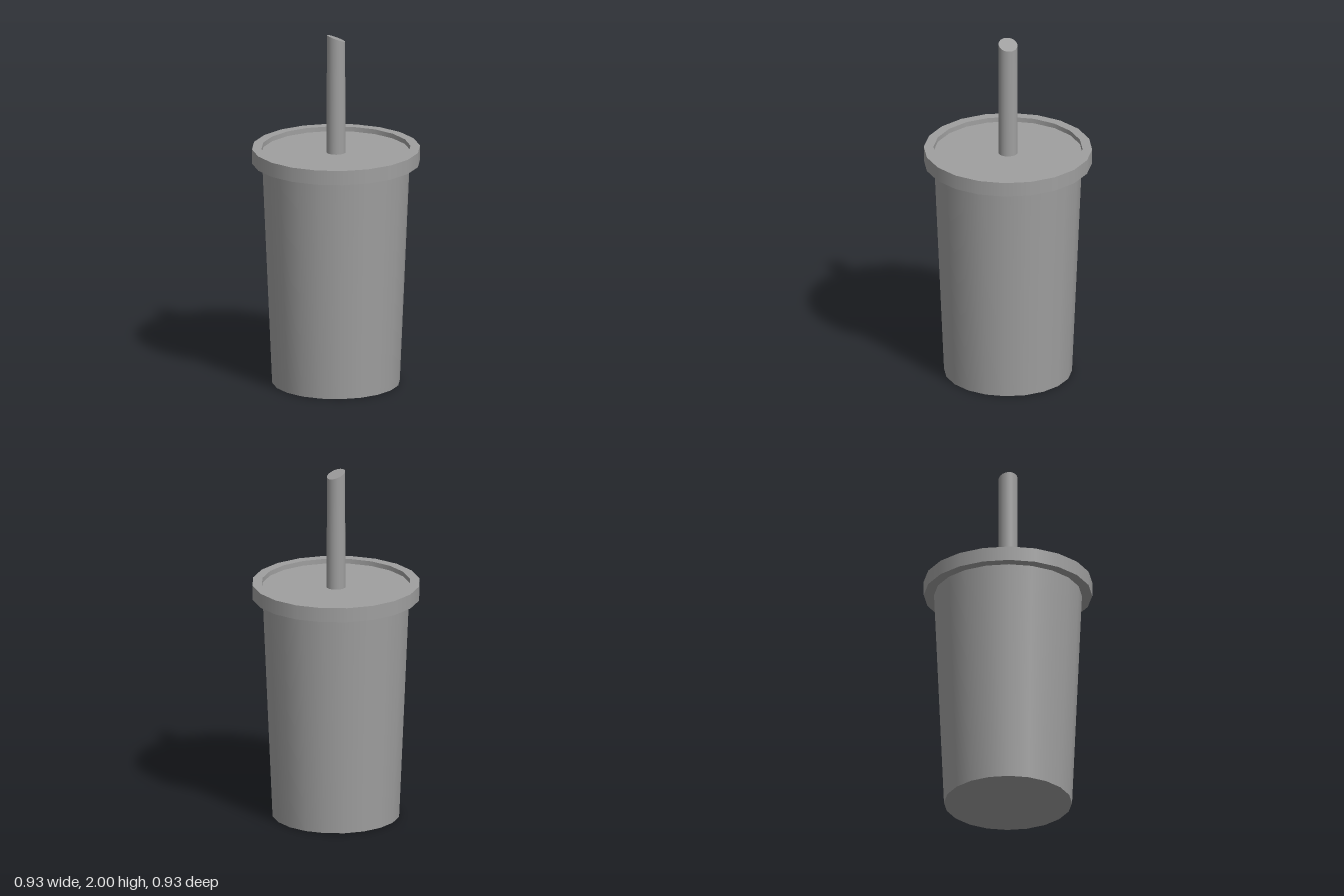
import * as THREE from 'three';
import { mergeGeometries } from 'three/addons/utils/BufferGeometryUtils.js';

const SIDES = 20;

// Revolve each profile segment separately so edges between bands stay sharp
function turned(name, profile, material) {
  const bands = [];
  for (let i = 0; i < profile.length - 1; i++) {
    const pts = [profile[i], profile[i + 1]].map(([r, y]) => new THREE.Vector2(r, y));
    bands.push(new THREE.LatheGeometry(pts, SIDES));
  }
  const mesh = new THREE.Mesh(mergeGeometries(bands), material);
  mesh.name = name;
  return mesh;
}

export function createModel() {
  const group = new THREE.Group();
  group.name = 'drinkCup';
  const grey = new THREE.MeshStandardMaterial({ color: 0x9f9f9f });

  // Tapered cup with a flat base
  group.add(turned('cup', [[0, 0], [0.355, 0], [0.41, 1.268]], grey));

  // Overhanging lid with a raised rim and a shallow sunken top
  group.add(turned('lid', [
    [0.41, 1.268], [0.467, 1.268], [0.467, 1.35],
    [0.414, 1.35], [0.414, 1.323], [0, 1.323],
  ], grey));

  // Straw with its top end cut at a slant
  const bottom = 1.323, top = 1.98, slope = 0.4;
  const geo = new THREE.CylinderGeometry(0.053, 0.053, top - bottom, SIDES);
  geo.translate(0, (top + bottom) / 2, 0);
  const pos = geo.attributes.position;
  const normal = geo.attributes.normal;
  const cut = new THREE.Vector3(slope, 1, 0).normalize();
  for (let i = 0; i < pos.count; i++) {
    if (pos.getY(i) < top - 0.01) continue;
    const x = pos.getX(i) * 0.95;
    pos.setX(i, x);
    pos.setY(i, top - x * slope);
    // the cap faces along the slanted cut
    if (normal.getY(i) > 0.5) normal.setXYZ(i, cut.x, cut.y, cut.z);
  }
  const straw = new THREE.Mesh(geo, grey);
  straw.name = 'straw';
  group.add(straw);

  return group;
}
